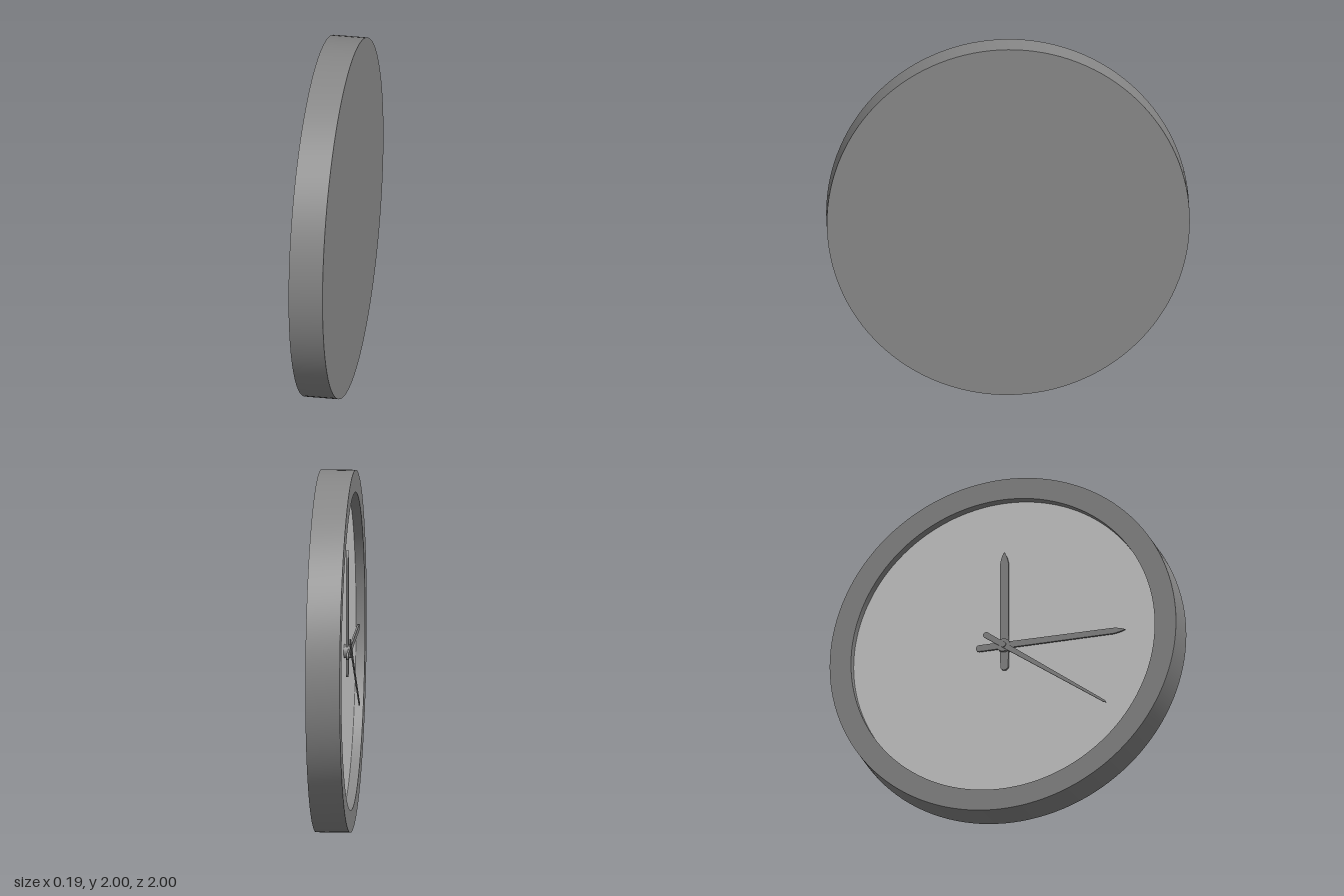
import * as THREE from 'three';
import { toCreasedNormals } from 'three/addons/utils/BufferGeometryUtils.js';

const dark = new THREE.MeshStandardMaterial({ color: 0x888888 });
const light = new THREE.MeshStandardMaterial({ color: 0xcccccc });

function part(name, geometry, material, parent) {
  const mesh = new THREE.Mesh(geometry, material);
  mesh.name = name;
  parent.add(mesh);
  return mesh;
}

// Flat hand pointing up: rounded tail, slight taper, pointed tip
function hand(name, { length, tail, tailWidth, width, point, z, thick, angle }, parent) {
  const t = tailWidth / 2, w = width / 2;
  const s = new THREE.Shape();
  s.moveTo(t, -tail + t);
  s.lineTo(w, length - point);
  s.quadraticCurveTo(w * 0.8, length - point * 0.4, 0, length);
  s.quadraticCurveTo(-w * 0.8, length - point * 0.4, -w, length - point);
  s.lineTo(-t, -tail + t);
  s.absarc(0, -tail + t, t, Math.PI, Math.PI * 2, false);
  const geo = new THREE.ExtrudeGeometry(s, { depth: thick, bevelEnabled: false, curveSegments: 8 });
  const mesh = part(name, geo, dark, parent);
  mesh.position.z = z;
  mesh.rotation.z = -THREE.MathUtils.degToRad(angle);
}

export function createModel() {
  const model = new THREE.Group();
  model.name = 'wallClock';

  // Built facing +z, then turned so the dial faces -x
  const clock = new THREE.Group();
  clock.name = 'clock';
  clock.position.y = 1;
  clock.rotation.y = -Math.PI / 2;
  model.add(clock);

  // Case: flat back, outer wall, front rim and recess wall
  const profile = [[0, -0.095], [1, -0.095], [1, 0.095], [0.877, 0.095], [0.877, 0.045]]
    .map(([r, y]) => new THREE.Vector2(r, y));
  const caseGeo = new THREE.LatheGeometry(profile, 128).rotateX(Math.PI / 2);
  part('case', toCreasedNormals(caseGeo, 0.6), dark, clock);

  // Dial at the bottom of the recess
  part('dial', new THREE.CircleGeometry(0.877, 128), light, clock).position.z = 0.045;

  // Hands, stacked from the dial outwards
  hand('hourHand', { length: 0.57, tail: 0.145, tailWidth: 0.046, width: 0.05, point: 0.08, z: 0.057, thick: 0.012, angle: 0 }, clock);
  hand('minuteHand', { length: 0.7, tail: 0.16, tailWidth: 0.038, width: 0.034, point: 0.07, z: 0.07, thick: 0.011, angle: 90 }, clock);
  hand('secondHand', { length: 0.735, tail: 0.14, tailWidth: 0.034, width: 0.012, point: 0.02, z: 0.082, thick: 0.007, angle: 126 }, clock);

  // Hub cap and centre pin
  const discs = [['hub', 0.038, 0.045, 0.086], ['centrePin', 0.016, 0.08, 0.094]];
  for (const [name, r, z0, z1] of discs) {
    const geo = new THREE.CylinderGeometry(r, r, z1 - z0, 32).rotateX(Math.PI / 2);
    part(name, geo, dark, clock).position.z = (z0 + z1) / 2;
  }
  return model;
}
